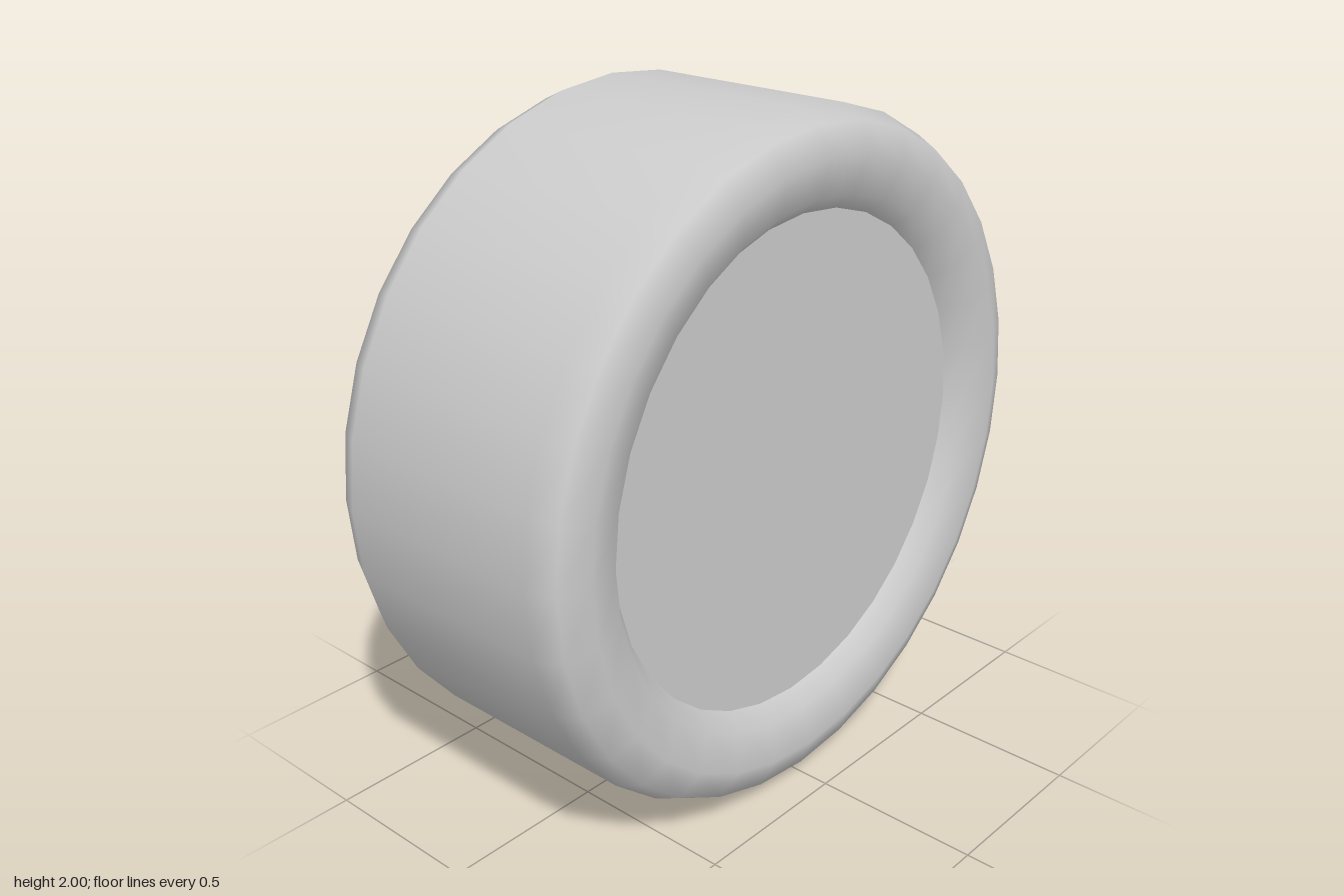
import * as THREE from 'three';

const SIDES = 32;
const material = new THREE.MeshStandardMaterial({ color: 0xcccccc });

// Flat disc facing +z or, when turned, -z
function disc(name, radius, z, back) {
  const mesh = new THREE.Mesh(new THREE.CircleGeometry(radius, SIDES), material);
  mesh.name = name;
  mesh.position.z = z;
  if (back) mesh.rotation.y = Math.PI;
  return mesh;
}

export function createModel() {
  const wheel = new THREE.Group();
  wheel.name = 'wheel';

  // Tyre: rounded shoulders, with a front lip that rolls inward to the hub
  const profile = [
    [0.86, -0.44], [0.88, -0.44], [0.965, -0.405], [1, -0.33],
    [1, 0.33], [0.965, 0.405], [0.88, 0.44], [0.77, 0.41], [0.725, 0.36],
  ].map(([r, z]) => new THREE.Vector2(r, z));
  const tyreGeometry = new THREE.LatheGeometry(profile, SIDES);
  tyreGeometry.rotateX(Math.PI / 2);
  const tyre = new THREE.Mesh(tyreGeometry, material);
  tyre.name = 'tyre';

  // Recessed hub face in front, closed cap behind
  wheel.add(tyre, disc('hubFace', 0.725, 0.36, false), disc('backCap', 0.86, -0.44, true));

  // Stand the wheel on the ground
  wheel.position.y = 1;
  const model = new THREE.Group();
  model.name = 'model';
  model.add(wheel);
  return model;
}
